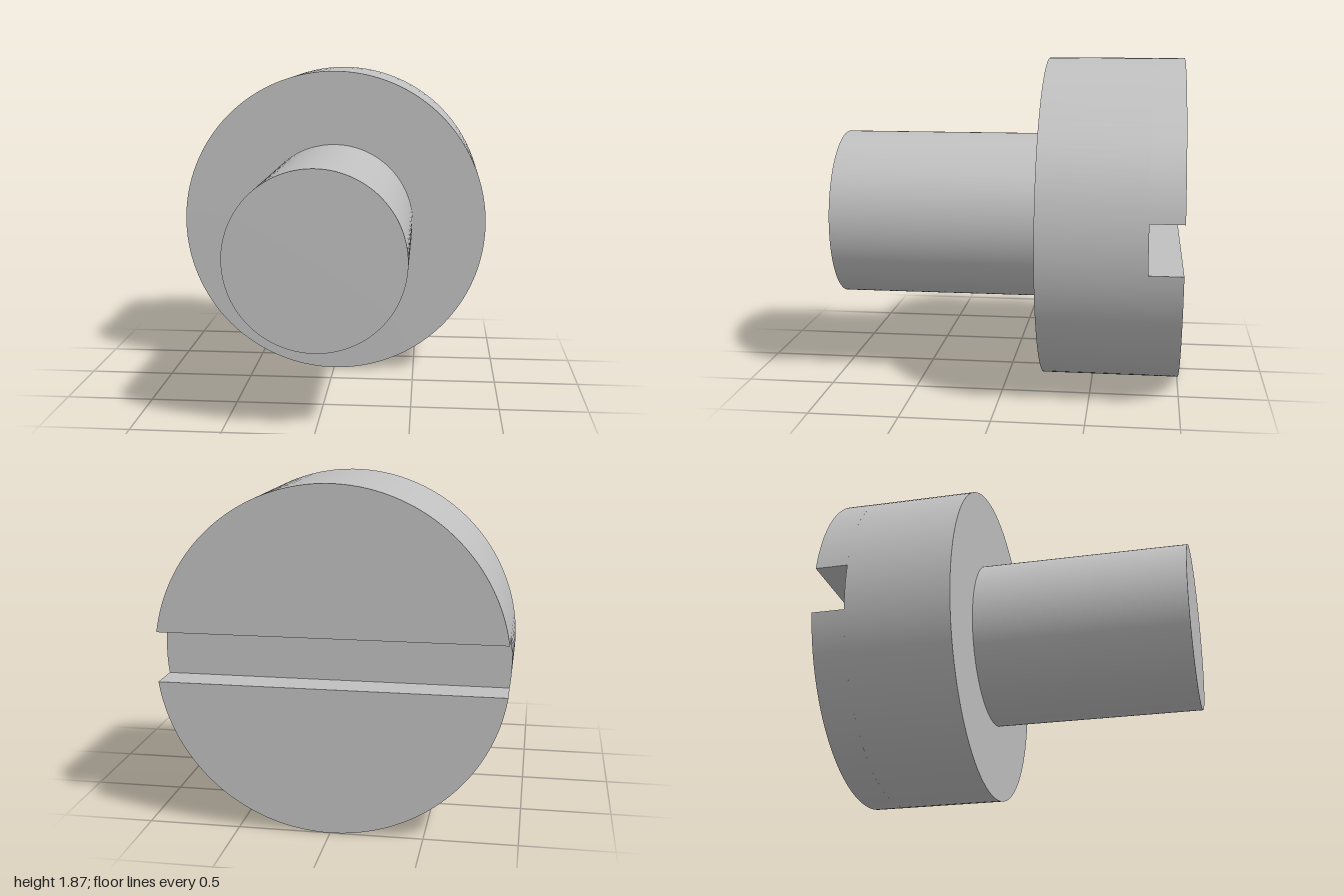
import * as THREE from 'three';
import { toCreasedNormals } from 'three/addons/utils/BufferGeometryUtils.js';

const HEAD_R = 0.935, SHANK_R = 0.487;
const BACK = -1, SLOT_FLOOR = -0.815, SHOULDER = -0.22, TIP = 1;
const SLOT_HALF = 0.136;

export function createModel() {
  const model = new THREE.Group();
  model.name = 'slottedScrew';
  const steel = new THREE.MeshStandardMaterial({ color: 0xc0c0c0 });
  steel.name = 'steel grey';

  const add = (name, geometry) => {
    const mesh = new THREE.Mesh(geometry, steel);
    mesh.name = name;
    mesh.position.y = HEAD_R;
    model.add(mesh);
    return mesh;
  };

  // Round bar lying along z between two depths
  const bar = (name, radius, z0, z1) => {
    const geometry = new THREE.CylinderGeometry(radius, radius, z1 - z0, 128);
    geometry.rotateX(Math.PI / 2).translate(0, 0, (z0 + z1) / 2);
    return add(name, geometry);
  };
  bar('shank', SHANK_R, SHOULDER, TIP);
  bar('headDisc', HEAD_R, SLOT_FLOOR, SHOULDER);

  // Two circular segments leave the driver slot between them
  const a = Math.asin(SLOT_HALF / HEAD_R);
  for (const [name, turn] of [['upperHeadHalf', 0], ['lowerHeadHalf', Math.PI]]) {
    const shape = new THREE.Shape();
    shape.absarc(0, 0, HEAD_R, a, Math.PI - a, false);
    shape.closePath();
    const geometry = new THREE.ExtrudeGeometry(shape, {
      depth: SLOT_FLOOR - BACK, bevelEnabled: false, curveSegments: 64,
    });
    geometry.translate(0, 0, BACK).rotateZ(turn);
    add(name, toCreasedNormals(geometry, 0.5));
  }
  return model;
}
